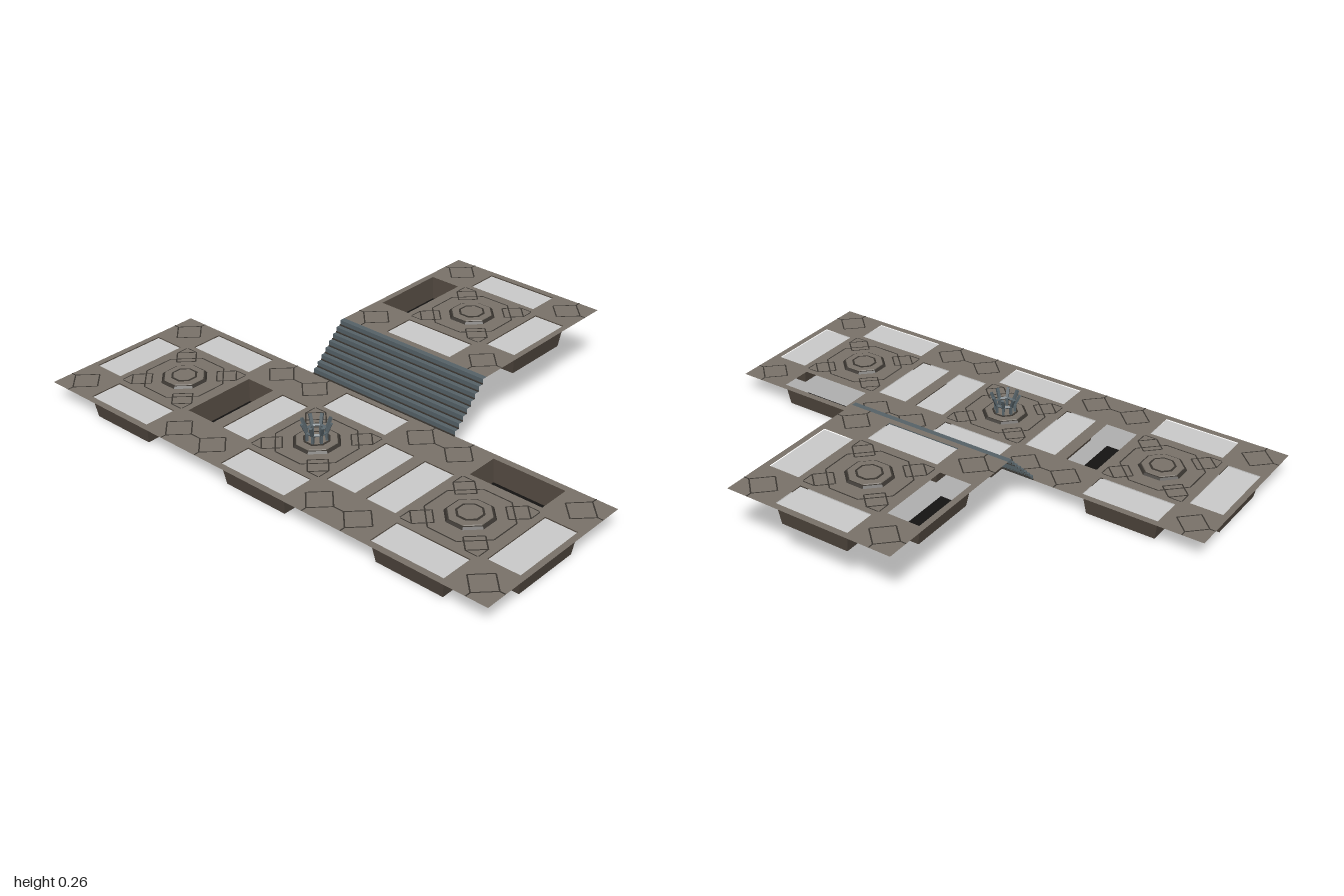
import * as THREE from 'three';

const mat = (color, side = THREE.DoubleSide) =>
  new THREE.MeshStandardMaterial({ color, side, flatShading: true });
const stone = mat(0x7a736a), groove = mat(0x3a3631), slate = mat(0x566268);
const glass = mat(0xcccccc, THREE.FrontSide);
const wall = mat(0x51483f), outerWall = mat(0x51483f, THREE.FrontSide), pit = mat(0x141312);

const HALF = 1 / 3, DEPTH = 0.083;
// Recesses of a tile: centre x, centre z, half width, half depth
const RECESSES = {
  front: [0, 0.245, 0.147, 0.063], back: [0, -0.245, 0.147, 0.063],
  left: [0.247, 0, 0.063, 0.147], right: [-0.247, 0, 0.063, 0.147],
};

function add(parent, name, geometry, material, x = 0, y = 0, z = 0) {
  const m = new THREE.Mesh(geometry, material);
  m.name = name;
  m.position.set(x, y, z);
  parent.add(m);
  return m;
}

function quad(a, b, c, d) {
  const g = new THREE.BufferGeometry();
  g.setAttribute('position', new THREE.Float32BufferAttribute([a, b, c, a, c, d].flat(), 3));
  g.computeVertexNormals();
  return g;
}

// Flat strip on the floor between two points
function inlay(parent, x1, z1, x2, z2, w = 0.005) {
  const g = new THREE.PlaneGeometry(Math.hypot(x2 - x1, z2 - z1), w).rotateX(-Math.PI / 2);
  const m = add(parent, 'floorGroove', g, groove, (x1 + x2) / 2, 0.0012, (z1 + z2) / 2);
  m.rotation.y = -Math.atan2(z2 - z1, x2 - x1);
}

// Outline of a regular polygon
function outline(parent, cx, cz, r, sides, turn = 0) {
  const p = i => {
    const a = turn + (i / sides) * Math.PI * 2;
    return [cx + r * Math.cos(a), cz + r * Math.sin(a)];
  };
  for (let i = 0; i < sides; i++) inlay(parent, ...p(i), ...p(i + 1));
}

// Tapered light well with a dark floor and, unless open, a glass lid
function recess(parent, [cx, cz, hw, hd], open) {
  const g = new THREE.Group();
  g.name = 'lightWell';
  g.position.set(cx, 0, cz);
  parent.add(g);
  const t = 0.012, signs = [[-1, -1], [-1, 1], [1, 1], [1, -1]];
  const top = signs.map(([sx, sz]) => [sx * hw, 0, sz * hd]);
  const low = signs.map(([sx, sz]) => [sx * (hw - t), -DEPTH, sz * (hd - t)]);
  for (let i = 0; i < 4; i++) {
    const j = (i + 1) % 4;
    add(g, 'wellWall', quad(top[i], low[i], low[j], top[j]), i === 1 || i === 2 ? outerWall : wall);
  }
  add(g, 'wellFloor', quad(...low), pit);
  if (!open) add(g, 'glassPanel', quad(...top), glass, 0, -0.004, 0);
}

function tile(parent, x, y, z, openSide) {
  const g = new THREE.Group();
  g.name = 'floorTile';
  g.position.set(x, y, z);
  parent.add(g);

  // Slab with four rectangular openings
  const rect = (Type, cx, cy, hw, hh) => new Type([[-1, -1], [1, -1], [1, 1], [-1, 1]]
    .map(([sx, sy]) => new THREE.Vector2(cx + sx * hw, cy + sy * hh)));
  const shape = rect(THREE.Shape, 0, 0, HALF, HALF);
  for (const [cx, cz, hw, hd] of Object.values(RECESSES))
    shape.holes.push(rect(THREE.Path, cx, -cz, hw, hd));
  add(g, 'slab', new THREE.ShapeGeometry(shape).rotateX(-Math.PI / 2), stone);
  for (const [side, r] of Object.entries(RECESSES)) recess(g, r, side === openSide);

  // Diamond and octagon grooves
  for (const sx of [-1, 1]) for (const sz of [-1, 1]) {
    outline(g, sx * 0.25, sz * 0.25, 0.062, 4);
    inlay(g, sx * 0.312, sz * 0.25, sx * HALF, sz * 0.25);
    inlay(g, sx * 0.25, sz * 0.312, sx * 0.25, sz * HALF);
    outline(g, sx * 0.108, sz * 0.108, 0.05, 4);
    inlay(g, sx * 0.108, sz * 0.158, sx * 0.155, sz * 0.158, 0.004);
    inlay(g, sx * 0.158, sz * 0.108, sx * 0.158, sz * 0.155, 0.004);
  }
  outline(g, 0, 0, 0.152, 8, Math.PI / 8);

  // Raised octagonal centre
  const oct = (name, r1, r2, h, yy, m) =>
    add(g, name, new THREE.CylinderGeometry(r1, r2, h, 8).rotateY(Math.PI / 8), m, 0, yy, 0);
  oct('centreRim', 0.082, 0.088, 0.008, 0.004, groove);
  oct('centreStep', 0.075, 0.081, 0.011, 0.0055, stone);
  oct('centreGroove', 0.05, 0.05, 0.002, 0.0112, groove);
  oct('centreCap', 0.042, 0.042, 0.002, 0.012, stone);
  return g;
}

// Crown-like ring with flared prongs
function crown(parent) {
  const g = new THREE.Group();
  g.name = 'pedestalCrown';
  g.position.y = 0.012;
  parent.add(g);
  const ring = new THREE.TorusGeometry(0.038, 0.006, 4, 8).rotateX(Math.PI / 2).rotateY(Math.PI / 8);
  add(g, 'crownRing', ring, slate, 0, 0.032, 0);
  for (let i = 0; i < 8; i++) {
    const arm = new THREE.Group();
    arm.name = 'crownArm';
    arm.rotation.y = ((i + 0.5) / 8) * Math.PI * 2;
    g.add(arm);
    add(arm, 'crownLeg', new THREE.BoxGeometry(0.009, 0.035, 0.009), slate, 0.037, 0.016, 0);
    add(arm, 'crownProng', new THREE.BoxGeometry(0.009, 0.042, 0.011), slate, 0.046, 0.05, 0)
      .rotation.z = -0.4;
  }
}

export function createModel() {
  const model = new THREE.Group();
  model.name = 'floorPlatforms';
  const low = DEPTH, high = 0.245, z = 0.4167;

  tile(model, -2 * HALF, low, z, 'left');
  crown(tile(model, 0, low, z));
  tile(model, 2 * HALF, low, z, 'back');
  tile(model, 0, high, -z, 'right');

  // Open staircase joining the two levels
  const steps = 8, rise = (high - low) / steps, run = 0.1667 / steps;
  const stairs = new THREE.Group();
  stairs.name = 'stairs';
  model.add(stairs);
  for (let i = 0; i < steps; i++) {
    const y = low + i * rise, zz = 0.0833 - i * run;
    add(stairs, 'riser', new THREE.PlaneGeometry(2 * HALF, rise), slate, 0, y + rise / 2, zz);
    add(stairs, 'tread', new THREE.PlaneGeometry(2 * HALF, run).rotateX(-Math.PI / 2), slate,
      0, y + rise, zz - run / 2);
    add(stairs, 'stepEdge', new THREE.BoxGeometry(2 * HALF, 0.004, 0.004), groove,
      0, y + 0.002, zz + 0.002);
  }
  return model;
}
